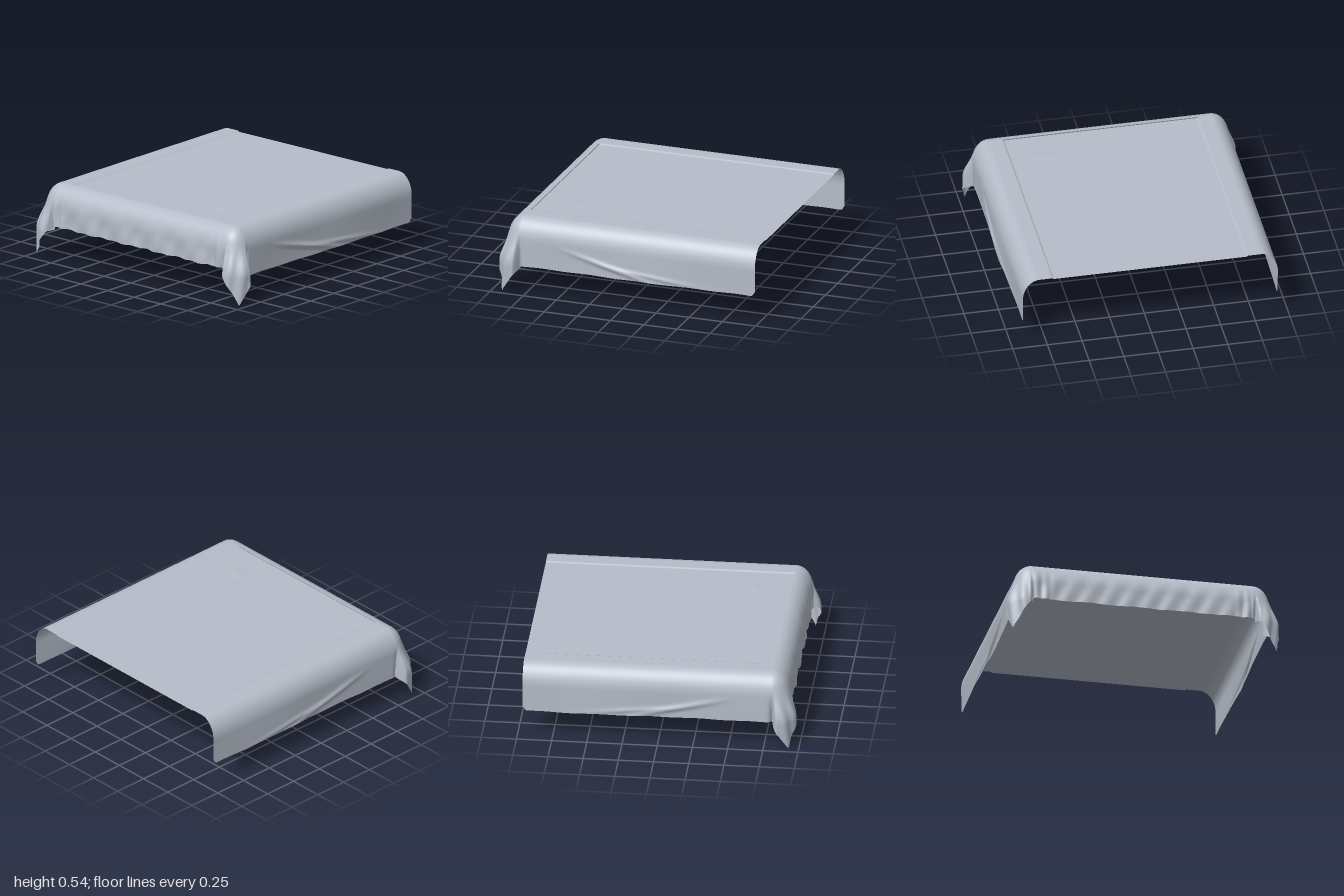
import * as THREE from 'three';

const TOP = 0.54, END = 0.965, IN = 0.8; // height, open end, inner edge of the rounding
const bell = (v, w) => Math.exp(-(v * v) / (w * w));
const smooth = THREE.MathUtils.smoothstep;

// Open surface from columns of points of equal length
function skin(columns) {
  const rows = columns[0].length, index = [];
  for (let i = 0; i < columns.length - 1; i++) {
    for (let j = 0; j < rows - 1; j++) {
      const a = i * rows + j, b = a + rows;
      index.push(a, a + 1, b, b, a + 1, b + 1);
    }
  }
  const g = new THREE.BufferGeometry();
  g.setAttribute('position', new THREE.Float32BufferAttribute(columns.flat(2), 3));
  g.setIndex(index);
  g.computeVertexNormals();
  return g;
}

// Flat top: lowered middle panel between two seams, with small puckers
function topPanel() {
  const zs = [-IN, -0.75, -0.708, -0.704, -0.698, -0.69];
  for (let k = -22; k <= 22; k++) zs.push(k * 0.03);
  zs.push(0.69, 0.698, 0.704, 0.708, 0.75, IN);
  const cols = [];
  for (let i = 0; i <= 70; i++) {
    const x = -IN + (END + IN) * i / 70;
    cols.push(zs.map(z => {
      const panel = 0.007 * (1 - smooth(Math.abs(z), 0.698, 0.704));
      const pucker = 0.006 * bell(x + 0.54, 0.025) * bell(z - 0.45, 0.06)
        + 0.005 * bell(x + 0.47, 0.03) * bell(z - 0.73, 0.02);
      return [x, TOP - panel + pucker, z];
    }));
  }
  return skin(cols);
}

// One hanging column: rounded shoulder, then straight down to the hem
function hang(x, z, nx, nz, hem, reach) {
  const pts = [], H = 0.16;
  for (let j = 0; j <= 36; j++) {
    let r = 1, y;
    if (j <= 14) {
      const p = j / 14 * Math.PI / 2;
      r = Math.sin(p);
      y = TOP - H * (1 - Math.cos(p));
    } else y = THREE.MathUtils.lerp(TOP - H, hem, (j - 14) / 22);
    const d = reach(y, r);
    pts.push([x + nx * d, y, z + nz * d]);
  }
  return pts;
}

// Long flap (side = 1 front, -1 back), from the open end to the corner
function longFlap(side) {
  const cols = [];
  for (let i = 0; i <= 80; i++) {
    const x = END - (END + IN) * i / 80;
    const c = Math.max(0, x - (END - 0.035)); // rounded lower corner at the open end
    const hem = 0.188 + 0.035 - Math.sqrt(Math.max(0, 0.035 ** 2 - c * c)) + 0.002 * Math.sin(x * 17);
    cols.push(hang(x, side * IN, 0, side, hem, (y, r) => {
      const down = smooth(TOP - y, 0.08, 0.34);
      const fold = 0.012 * bell(y - 0.34 + 0.24 * (x + 0.45), 0.02) * smooth(x, -0.6, -0.2) * (1 - smooth(x, 0, 0.35));
      const fold2 = 0.008 * bell(y - 0.24 + 0.1 * (x - 0.1), 0.016) * bell(x - 0.2, 0.3);
      return 0.12 * r + down * 0.005 * Math.sin(x * 5 + side) + fold + fold2;
    }));
  }
  return cols;
}

// Corner ear: flares outward below the shoulder and hangs to a point
function cornerEar(side) {
  const cols = [], tip = 40;
  for (let i = 0; i <= 27; i++) {
    const deg = i * 90 / 27, a = deg * Math.PI / 180;
    const hem = deg <= tip ? 0.19 * ((tip - deg) / tip) ** 0.95 : 0.243 * ((deg - tip) / (90 - tip)) ** 0.85;
    const flare = smooth(deg, 2, 13) * (1 - smooth(deg, 80, 89)) * THREE.MathUtils.lerp(0.078, 0.055, deg / 90);
    cols.push(hang(-IN, side * IN, -Math.sin(a), side * Math.cos(a), hem, (y, r) => {
      const open = smooth(TOP - y, 0.1, 0.34);
      const pleat = 0.045 * (bell(deg - 4, 3.5) + bell(deg - 87, 3));
      const ripple = 0.007 * Math.sin(a * 11 + y * 9);
      return 0.122 * r + open * (flare - pleat + ripple * smooth(deg, 0, 15) * (1 - smooth(deg, 75, 90)));
    }));
  }
  return cols;
}

// Wrinkled end flap between the two ears
function endFlap() {
  const cols = [];
  for (let i = 0; i <= 150; i++) {
    const z = IN - 2 * IN * i / 150;
    const hem = 0.245 + 0.004 * Math.sin(z * 31) * Math.sin(z * 13);
    const gather = smooth(Math.abs(z), 0.6, 0.78);
    cols.push(hang(-IN, z, -1, 0, hem, (y, r) => {
      const down = smooth(TOP - y, 0.02, 0.28);
      const creases = 0.005 * Math.sin(z * 19 + y * 14) + 0.004 * Math.sin(z * 43 - y * 21)
        + 0.008 * gather * Math.sin(z * 95);
      return 0.125 * r + down * creases;
    }));
  }
  return cols;
}

export function createModel() {
  const cloth = new THREE.MeshStandardMaterial({ color: 0xb6bdc9, side: THREE.DoubleSide });
  cloth.name = 'greyBlueCloth';
  const group = new THREE.Group();
  group.name = 'drapedBedCover';
  const add = (name, geometry) => {
    const m = new THREE.Mesh(geometry, cloth);
    m.name = name;
    group.add(m);
  };
  add('topPanel', topPanel());
  // One continuous skirt around three sides
  add('hangingSkirt', skin([
    ...longFlap(1), ...cornerEar(1).slice(1), ...endFlap().slice(1),
    ...cornerEar(-1).reverse().slice(1), ...longFlap(-1).reverse().slice(1),
  ]));
  return group;
}
